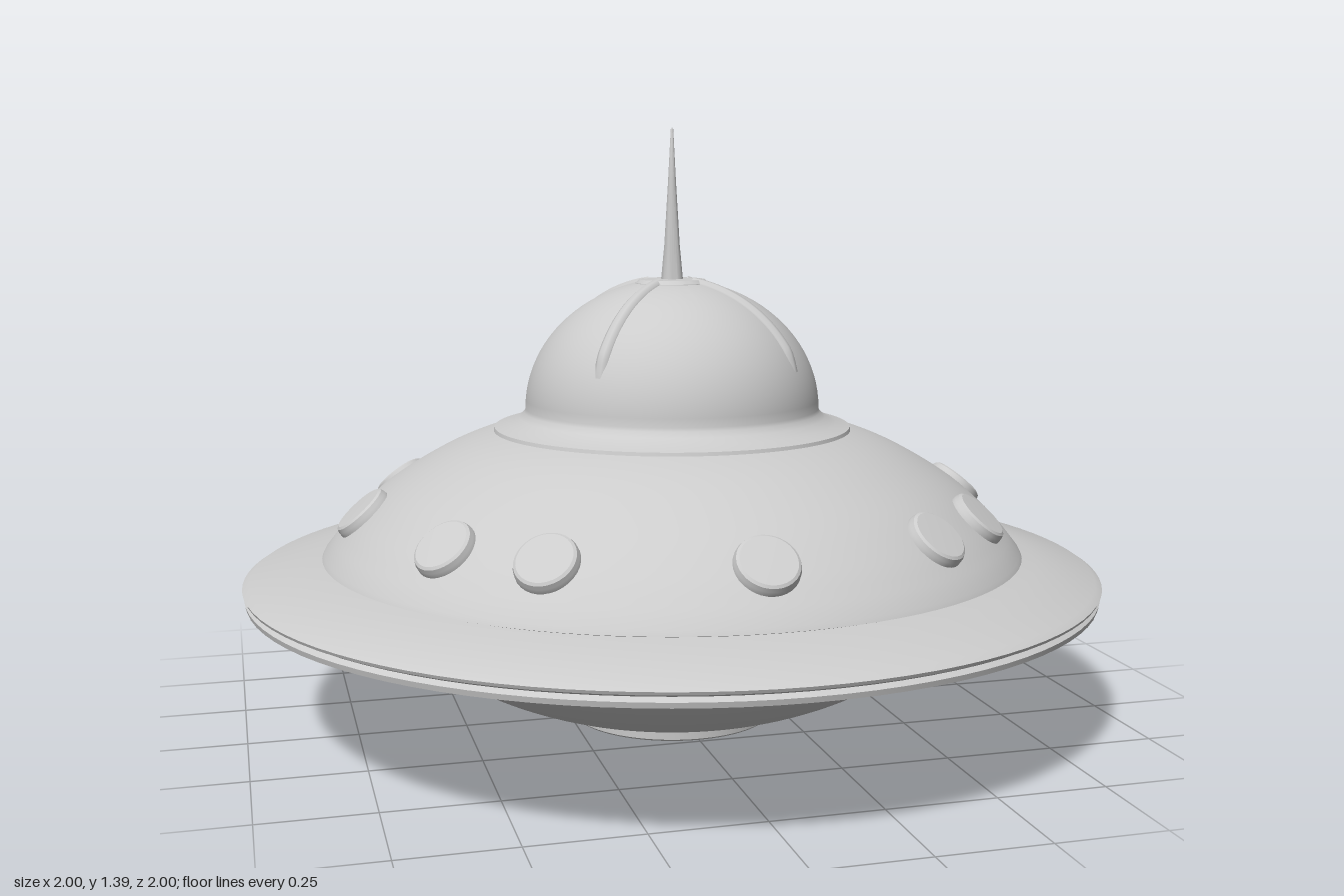
import * as THREE from 'three';
import { toCreasedNormals } from 'three/addons/utils/BufferGeometryUtils.js';

const material = new THREE.MeshStandardMaterial({ color: 0xcccccc });

function addMesh(parent, name, geometry) {
  const mesh = new THREE.Mesh(geometry, material);
  mesh.name = name;
  parent.add(mesh);
  return mesh;
}

// Profile of [radius, height] pairs, listed from the bottom up
function turned(profile, segments = 96, crease = 0.55) {
  const points = profile.map(([r, y]) => new THREE.Vector2(r, y));
  return toCreasedNormals(new THREE.LatheGeometry(points, segments), crease);
}

// Smooth run of profile points through a few guides
function smooth(guides, count) {
  const curve = new THREE.SplineCurve(guides.map(([r, y]) => new THREE.Vector2(r, y)));
  return curve.getPoints(count).map((p) => [p.x, p.y]);
}

const DOME = { radius: 0.345, height: 0.3, base: 0.74 };

export function createModel() {
  const model = new THREE.Group();
  model.name = 'flyingSaucer';

  // Underside: landing foot and bowl
  addMesh(model, 'foot', turned([[0, 0], [0.24, 0], [0.244, 0.004], [0.245, 0.03], [0.255, 0.04]]));
  addMesh(model, 'lowerHull', turned(smooth(
    [[0.245, 0.036], [0.31, 0.046], [0.42, 0.083], [0.53, 0.138], [0.64, 0.218], [0.75, 0.315], [0.76, 0.325]], 24)));

  // Flat rim with a groove around its edge
  addMesh(model, 'rim', turned([
    [0.72, 0.318], [0.975, 0.318], [0.993, 0.322], [0.996, 0.334], [0.985, 0.342],
    [0.997, 0.348], [1, 0.355], [0.985, 0.365], [0.85, 0.397], [0.8, 0.405],
  ]));

  // Upper hull with a short skirt at its foot
  addMesh(model, 'upperHull', turned([
    [0.79, 0.398], [0.82, 0.408], [0.815, 0.418],
    ...smooth([[0.79, 0.45], [0.745, 0.5], [0.67, 0.565], [0.58, 0.622], [0.5, 0.662], [0.42, 0.69], [0.34, 0.71]], 24),
  ]));

  // Dome on a flared collar
  const dome = [[0.405, 0.685], [0.42, 0.69], [0.418, 0.698], [0.385, 0.707], [0.36, 0.72], [0.348, 0.732]];
  for (let i = 0; i <= 24; i++) {
    const a = (i / 24) * Math.PI / 2;
    dome.push([DOME.radius * Math.cos(a), DOME.base + DOME.height * Math.sin(a)]);
  }
  addMesh(model, 'dome', turned(dome));

  // Four ribs that sink into the dome towards their lower ends
  for (let k = 0; k < 4; k++) {
    const points = [];
    for (let i = 0; i <= 14; i++) {
      const a = THREE.MathUtils.lerp(0.15, 1.4, i / 14);
      const sink = 0.008 + 0.02 * Math.max(0, 1 - i / 4);
      points.push(new THREE.Vector3(
        (DOME.radius - sink) * Math.cos(a), DOME.base + (DOME.height - sink) * Math.sin(a), 0));
    }
    const rib = addMesh(model, 'domeRib',
      new THREE.TubeGeometry(new THREE.CatmullRomCurve3(points), 32, 0.018, 10));
    rib.rotation.y = Math.PI / 4 + k * Math.PI / 2;
  }

  // Cap and antenna
  addMesh(model, 'antennaCap', turned([
    [0.1, 1.005], [0.088, 1.018], [0.085, 1.032], [0.077, 1.04], [0.04, 1.041], [0, 1.041]], 48));
  addMesh(model, 'antenna', turned([[0.026, 1.035], [0.018, 1.12], [0.009, 1.27], [0.003, 1.385], [0, 1.39]], 24));

  // Portholes around the upper hull
  const porthole = turned([
    [0.074, -0.03], [0.07, 0.0], [0.069, 0.012], [0.066, 0.02], [0.06, 0.024], [0, 0.026]], 32);
  const outward = new THREE.Vector3(0.66, 0.75, 0).normalize();
  for (let quarter = 0; quarter < 4; quarter++) {
    for (const degrees of [0, 35, 55]) {
      const pivot = new THREE.Group();
      pivot.name = 'portholeMount';
      pivot.rotation.y = quarter * Math.PI / 2 + THREE.MathUtils.degToRad(degrees);
      const disc = addMesh(pivot, 'porthole', porthole);
      disc.position.set(0.722, 0.515, 0);
      disc.quaternion.setFromUnitVectors(new THREE.Vector3(0, 1, 0), outward);
      model.add(pivot);
    }
  }
  return model;
}
